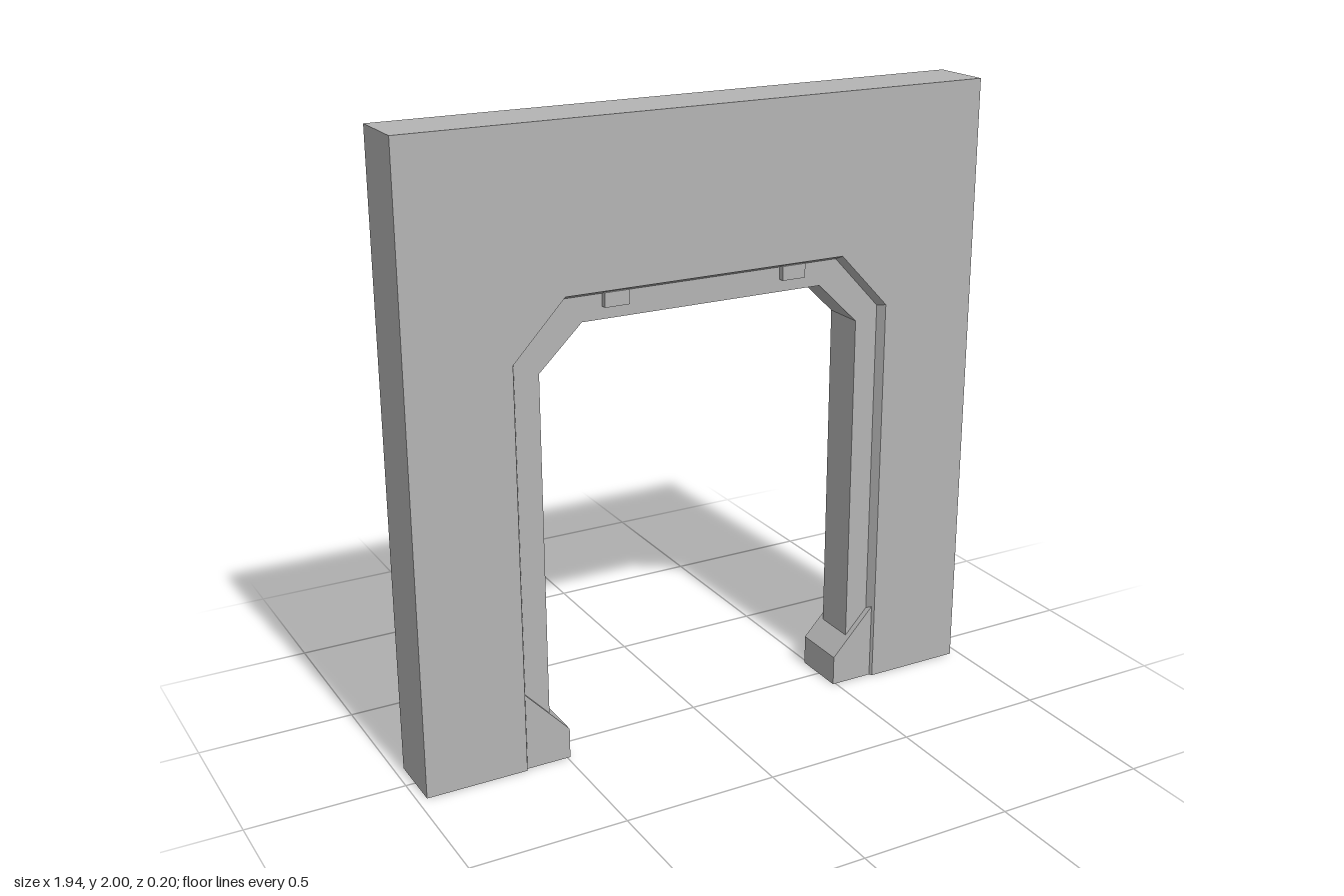
import * as THREE from 'three';

// Skins a list of rings; each ring is { pts: [[x, y], ...], z }. Faceted normals.
function loft(rings) {
  const pos = [];
  const tri = (...pts) => {
    const [a, b, c] = pts;
    const n = b.clone().sub(a).cross(c.clone().sub(a));
    if (n.length() > 1e-8) pts.forEach((p) => pos.push(p.x, p.y, p.z));
  };
  const v = (ring, j) => new THREE.Vector3(ring.pts[j][0], ring.pts[j][1], ring.z);
  for (let i = 0; i < rings.length - 1; i++) {
    const r = rings[i], s = rings[i + 1];
    for (let j = 0; j < r.pts.length - 1; j++) {
      const a = v(r, j), b = v(r, j + 1), c = v(s, j + 1), d = v(s, j);
      tri(a, d, c);
      tri(a, c, b);
    }
  }
  const g = new THREE.BufferGeometry();
  g.setAttribute('position', new THREE.Float32BufferAttribute(pos, 3));
  g.computeVertexNormals();
  return g;
}

// Symmetric arch path: up the left side, across and down the right side
function arch(x, shoulderY, cornerX, topY) {
  const half = [[-x, 0], [-x, shoulderY], [-cornerX, topY]];
  return [...half, ...half.map(([px, py]) => [-px, py]).reverse()];
}

export function createModel() {
  const group = new THREE.Group();
  const grey = new THREE.MeshStandardMaterial({ color: 0xb4b4b4, side: THREE.DoubleSide, flatShading: true });
  grey.name = 'plain grey';

  const add = (name, geometry) => {
    const mesh = new THREE.Mesh(geometry, grey);
    mesh.name = name;
    group.add(mesh);
    return mesh;
  };

  const outer = arch(0.97, 1.31, 0.97, 2);
  const opening = arch(0.641, 1.313, 0.472, 1.492);
  const rebate = arch(0.627, 1.306, 0.466, 1.478);
  const inner = arch(0.548, 1.265, 0.408, 1.4);
  const wallZ = 0.1, frameZ = 0.07, footZ = 0.09;

  // Wall shell with chamfered opening, open underneath
  add('wall', loft([
    { pts: rebate, z: -frameZ }, { pts: opening, z: -wallZ }, { pts: outer, z: -wallZ },
    { pts: outer, z: wallZ }, { pts: opening, z: wallZ }, { pts: rebate, z: frameZ },
  ]));

  // Recessed door frame
  add('doorFrame', loft([
    { pts: rebate, z: frameZ }, { pts: inner, z: frameZ },
    { pts: inner, z: -frameZ }, { pts: rebate, z: -frameZ },
  ]));

  // Sloped feet at the bottom of each jamb, open underneath
  const base = [[-0.636, 0], [-0.636, 0.1], [-0.636, 0.255]];
  const slope = [[-0.49, 0], [-0.49, 0.1], [-0.636, 0.255]];
  const foot = loft([
    { pts: base, z: footZ }, { pts: slope, z: footZ },
    { pts: slope, z: -footZ }, { pts: base, z: -footZ },
  ]);
  add('rightFoot', foot);
  add('leftFoot', foot).rotation.y = Math.PI;

  // Small blocks under the lintel, showing on both faces
  for (const [name, x] of [['rightLintelBlock', -0.302], ['leftLintelBlock', 0.302]]) {
    add(name, new THREE.BoxGeometry(0.08, 0.045, footZ * 2)).position.set(x, 1.4615, 0);
  }

  return group;
}
